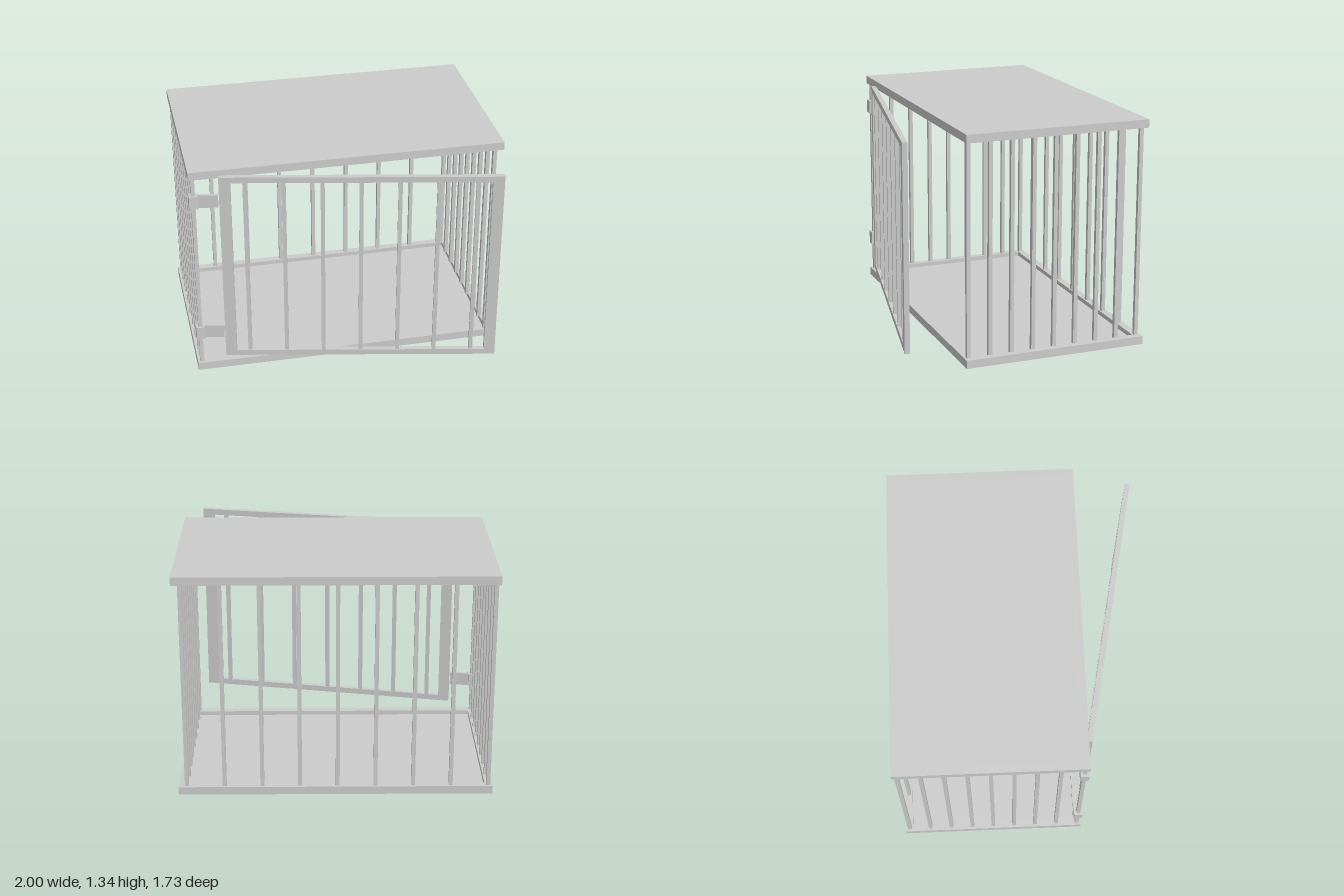
import * as THREE from 'three';

const material = new THREE.MeshStandardMaterial({ color: 0xcccccc, flatShading: true });

// Adds a named box of size (w, h, d) centred at (x, y, z)
function box(parent, name, w, h, d, x, y, z) {
  const mesh = new THREE.Mesh(new THREE.BoxGeometry(w, h, d), material);
  mesh.name = name;
  mesh.position.set(x, y, z);
  parent.add(mesh);
  return mesh;
}

function group(parent, name) {
  const g = new THREE.Group();
  g.name = name;
  parent.add(g);
  return g;
}

const WIDTH = 1.82, DEPTH = 1.09, SLAB = 0.048, HEIGHT = 1.335;
const RIM = 0.045, PANEL = 0.022, BAR = 0.023;
const LEFT = -0.885, RIGHT = 0.862, SIDE = 0.52;
const TURN = Math.PI / 16;

// Shallow tray: a panel with a raised rim, used for floor and roof
function tray(parent, name, y, panelY) {
  const g = group(parent, name);
  box(g, 'panel', WIDTH - 2 * RIM, PANEL, DEPTH - 2 * RIM, 0, panelY, 0);
  for (const s of [-1, 1]) {
    box(g, 'longRim', WIDTH, SLAB, RIM, 0, y, s * (DEPTH - RIM) / 2);
    box(g, 'shortRim', RIM, SLAB, DEPTH - 2 * RIM, s * (WIDTH - RIM) / 2, y, 0);
  }
}

export function createModel() {
  const model = new THREE.Group();
  model.name = 'cage';

  const body = group(model, 'body');
  body.position.set(0, 0, -0.157);
  body.rotation.y = -TURN;

  tray(body, 'floor', SLAB / 2, PANEL / 2);
  tray(body, 'roof', HEIGHT - SLAB / 2, HEIGHT - PANEL / 2);

  // Bars: both sides and the back, front left open for the door
  const bars = group(body, 'bars');
  const barH = HEIGHT - 2 * SLAB + 0.01;
  const bar = (name, x, z) => box(bars, name, BAR, barH, BAR, x, HEIGHT / 2, z);
  for (let i = 0; i <= 8; i++) {
    const z = -SIDE + (2 * SIDE * i) / 8;
    bar('rightBar', LEFT, z);
    bar('leftBar', RIGHT, z);
    if (i > 0 && i < 8) bar('backBar', LEFT + ((RIGHT - LEFT) * i) / 8, -SIDE);
  }

  // Door standing ajar
  const door = group(model, 'door');
  door.position.set(-0.1, 0.7, 0.543);
  door.rotation.y = -2 * TURN;
  const doorW = 1.59, doorH = 1.2, stile = 0.065, rail = 0.035, thick = 0.03;
  for (const s of [-1, 1]) {
    box(door, 'doorStile', stile, doorH, thick, s * (doorW - stile) / 2, 0, 0);
    box(door, 'doorRail', doorW - 2 * stile, rail, thick, 0, s * (doorH - rail) / 2, 0);
  }
  for (let i = -3; i <= 3; i++) {
    box(door, 'doorBar', BAR, doorH - 2 * rail, BAR, i * 0.217, 0, 0);
  }

  // Hinges: a clamp around the corner post and a plate reaching to the door
  for (const y of [0.26, 1.14]) {
    box(body, 'hingeClamp', 0.05, 0.08, 0.05, LEFT, y, SIDE);
    const plate = box(model, 'hingePlate', 0.12, 0.08, 0.016, -0.893, y, 0.205);
    plate.rotation.y = -2 * TURN;
  }

  return model;
}
